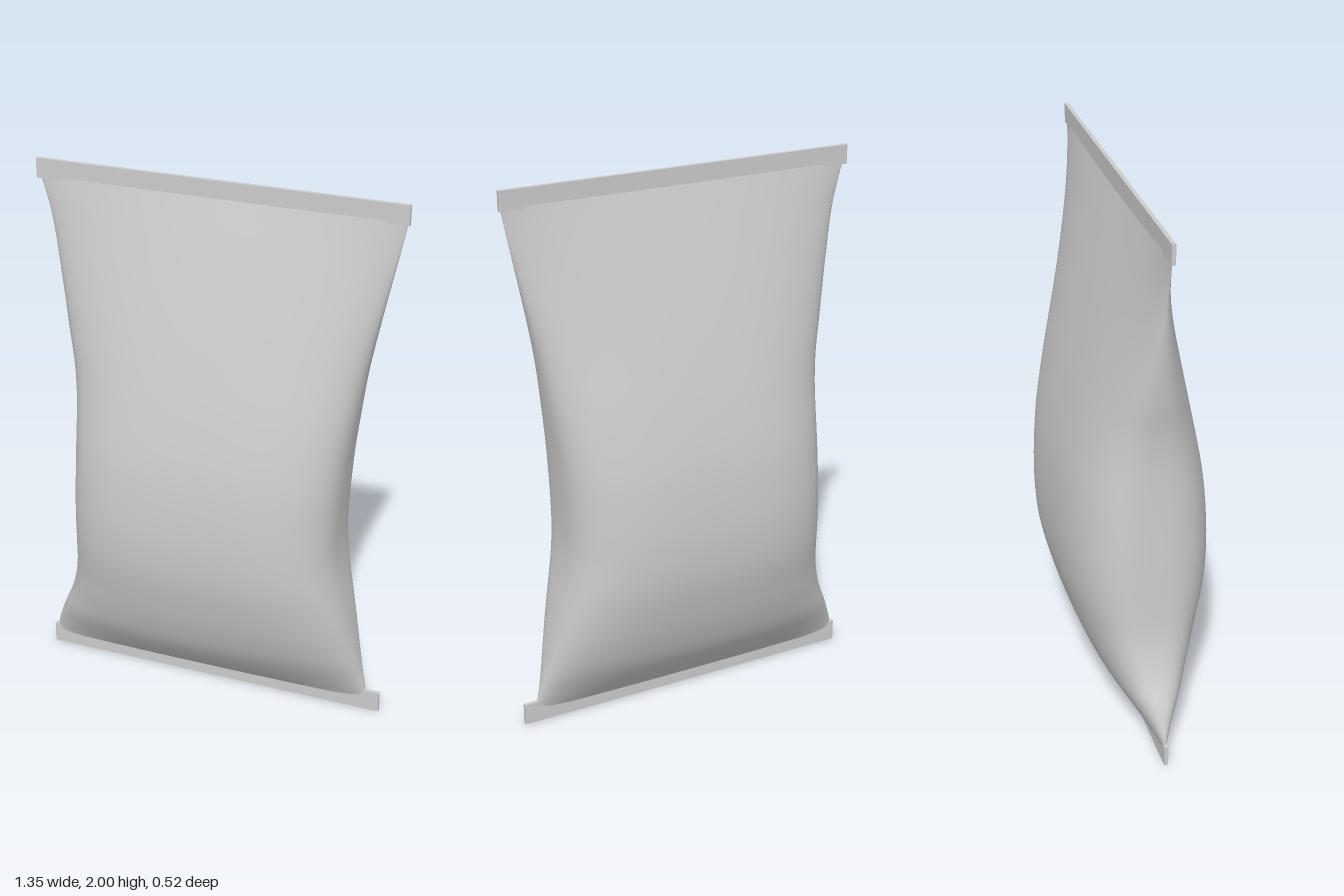
import * as THREE from 'three';

// Smooth curve through [y, value] pairs, sampled by y
function profile(pairs) {
  const slope = (i) => {
    const a = pairs[Math.max(i - 1, 0)], b = pairs[Math.min(i + 1, pairs.length - 1)];
    return (b[1] - a[1]) / (b[0] - a[0]);
  };
  return (y) => {
    let i = 0;
    while (i < pairs.length - 2 && y > pairs[i + 1][0]) i++;
    const [y0, v0] = pairs[i], [y1, v1] = pairs[i + 1];
    const h = y1 - y0, t = (y - y0) / h, t2 = t * t, t3 = t2 * t;
    return (2 * t3 - 3 * t2 + 1) * v0 + (t3 - 2 * t2 + t) * h * slope(i)
      + (3 * t2 - 2 * t3) * v1 + (t3 - t2) * h * slope(i + 1);
  };
}

// Side outlines and half depth of the pouch by height
const rightEdge = profile([[0.045, -0.665], [0.1, -0.66], [0.2, -0.625], [0.3, -0.58], [0.4, -0.55],
  [0.5, -0.535], [0.7, -0.527], [1.1, -0.517], [1.25, -0.525], [1.4, -0.55], [1.6, -0.58], [1.8, -0.61], [1.94, -0.647]]);
const leftEdge = profile([[0.045, 0.608], [0.2, 0.575], [0.4, 0.535], [0.6, 0.495], [0.75, 0.485],
  [1, 0.5], [1.2, 0.525], [1.4, 0.555], [1.6, 0.595], [1.8, 0.637], [1.94, 0.665]]);
const halfDepth = profile([[0.045, 0.012], [0.1, 0.062], [0.2, 0.135], [0.3, 0.182], [0.4, 0.215],
  [0.55, 0.25], [0.7, 0.262], [0.85, 0.258], [1, 0.243], [1.2, 0.205], [1.4, 0.158], [1.6, 0.107], [1.8, 0.053], [1.94, 0.014]]);

// Loft of rounded sections, pinched flat at both seals
function pouchGeometry(rows = 90, cols = 96) {
  const y0 = 0.045, y1 = 1.94, pos = [], index = [];
  for (let r = 0; r <= rows; r++) {
    const y = y0 + (y1 - y0) * r / rows;
    const xr = rightEdge(y), xl = leftEdge(y), d = halfDepth(y);
    const power = 2 / (1.8 + 1.2 * d / 0.262);
    for (let c = 0; c < cols; c++) {
      const a = c / cols * Math.PI * 2, ca = Math.cos(a), sa = Math.sin(a);
      const u = Math.sign(ca) * Math.abs(ca) ** power;
      const w = Math.sign(sa) * Math.abs(sa) ** power;
      pos.push((xl + xr) / 2 + u * (xl - xr) / 2, y, w * d);
    }
  }
  for (let r = 0; r < rows; r++) {
    for (let c = 0; c < cols; c++) {
      const n = (c + 1) % cols;
      const a = r * cols + c, b = r * cols + n, e = a + cols, f = b + cols;
      index.push(a, e, b, b, e, f);
    }
  }
  const geo = new THREE.BufferGeometry();
  geo.setAttribute('position', new THREE.Float32BufferAttribute(pos, 3));
  geo.setIndex(index);
  geo.computeVertexNormals();
  return geo;
}

export function createModel() {
  const group = new THREE.Group();
  group.name = 'pillowPouch';
  const grey = new THREE.MeshStandardMaterial({ color: 0xcccccc, side: THREE.DoubleSide });
  grey.name = 'light grey';

  const add = (name, geo) => {
    const mesh = new THREE.Mesh(geo, grey);
    mesh.name = name;
    group.add(mesh);
    return mesh;
  };

  add('pouchBody', pouchGeometry());

  // Flat sealed strips at both ends
  const strip = (name, xMin, xMax, yMin, yMax) => {
    add(name, new THREE.BoxGeometry(xMax - xMin, yMax - yMin, 0.014))
      .position.set((xMin + xMax) / 2, (yMin + yMax) / 2, 0);
  };
  strip('topSeal', -0.66, 0.67, 1.93, 2);
  strip('bottomSeal', -0.677, 0.652, 0, 0.08);

  return group;
}
